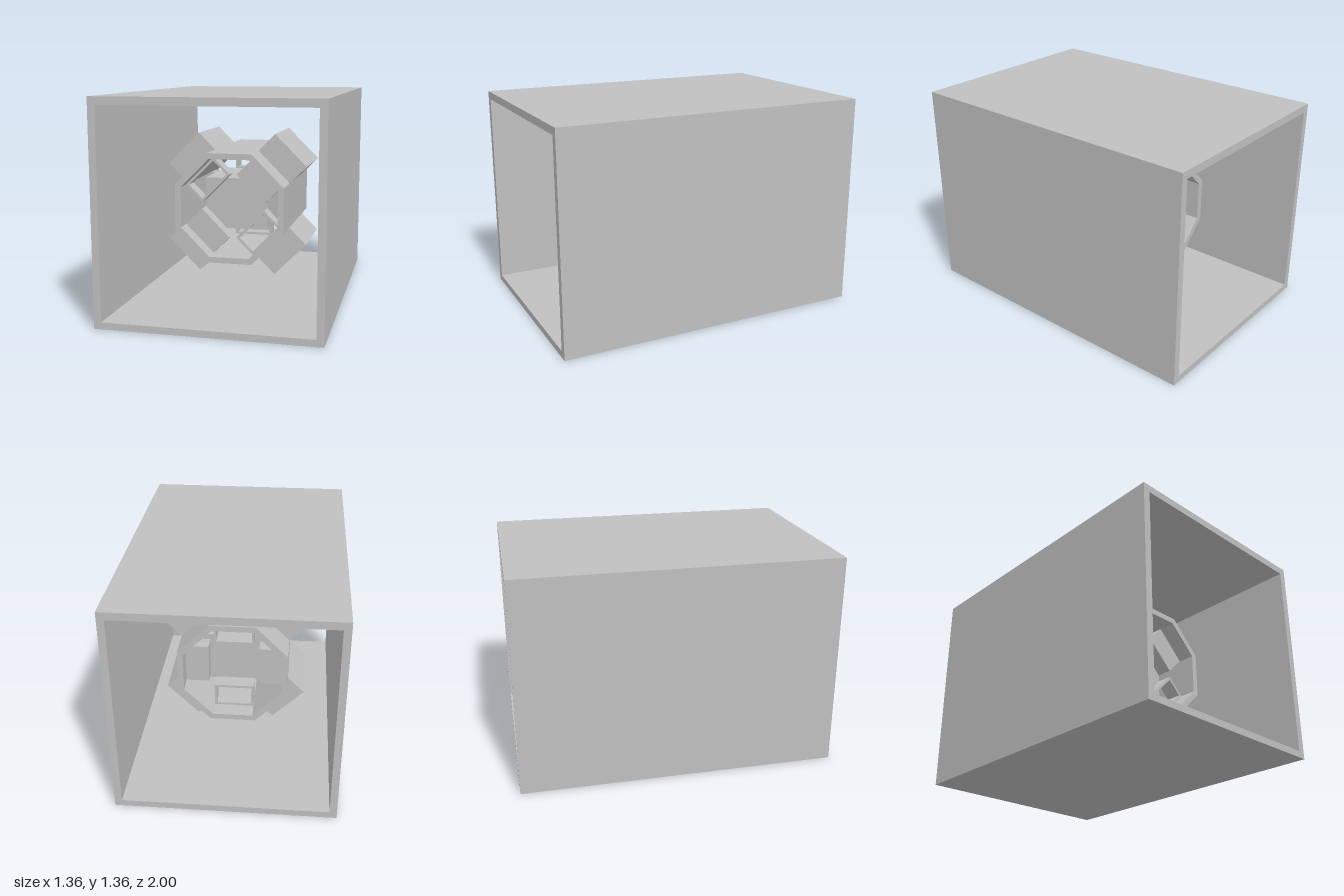
import * as THREE from 'three';

const CENTER_Y = 0.645; // axis of the inner tube

export function createModel() {
  const model = new THREE.Group();
  const gray = new THREE.MeshStandardMaterial({ color: 0xc0c0c0 });
  gray.name = 'light gray';

  const add = (parent, name, geometry) => {
    const mesh = new THREE.Mesh(geometry, gray);
    mesh.name = name;
    parent.add(mesh);
    return mesh;
  };
  const rect = (x0, y0, x1, y1) => [[x0, y0], [x1, y0], [x1, y1], [x0, y1]];
  const octagon = (apothem) => Array.from({ length: 8 }, (_, i) => {
    const a = (i + 0.5) * Math.PI / 4;
    const r = apothem / Math.cos(Math.PI / 8);
    return [r * Math.cos(a), r * Math.sin(a)];
  });
  const points = (list) => list.map(([x, y]) => new THREE.Vector2(x, y));
  // Hollow prism along z from an outer and an inner outline
  const tube = (outer, inner, z0, z1) => {
    const shape = new THREE.Shape(points(outer));
    shape.holes.push(new THREE.Path(points(inner)));
    return new THREE.ExtrudeGeometry(shape, { depth: z1 - z0, bevelEnabled: false }).translate(0, 0, z0);
  };
  // Solid block reaching from r0 to r1 along +x
  const block = (r0, r1, width, z0, z1) =>
    new THREE.BoxGeometry(r1 - r0, width, z1 - z0).translate((r0 + r1) / 2, 0, (z0 + z1) / 2);

  // Square outer shell, open at both ends
  add(model, 'outerShell', tube(rect(-0.68, 0, 0.68, 1.36), rect(-0.635, 0.042, 0.635, 1.312), -1, 1));

  const core = new THREE.Group();
  core.name = 'innerAssembly';
  core.position.y = CENTER_Y;
  model.add(core);

  // Eight-sided tube and the central block
  add(core, 'octagonalTube', tube(octagon(0.348), octagon(0.311), -0.46, 0.46));
  add(core, 'centralBlock', new THREE.BoxGeometry(0.41, 0.33, 0.5));

  // Four diagonal blocks on the outside of the tube
  for (let i = 0; i < 4; i++) {
    add(core, 'outerBlock', block(0.34, 0.5, 0.29, -0.25, 0.25)).rotation.z = (i + 0.5) * Math.PI / 2;
  }

  // Solid blocks alternating with open frames, turned 45 degrees between the ends
  for (const [z0, z1, turn] of [[0.25, 0.35, Math.PI / 4], [-0.35, -0.25, 0]]) {
    for (let i = 0; i < 4; i++) {
      const part = i % 2 === 0
        ? add(core, 'innerBlock', block(0.162, 0.311, 0.256, z0, z1))
        : add(core, 'openFrame', tube(rect(0.158, -0.128, 0.311, 0.128), rect(0.174, -0.113, 0.296, 0.113), z0, z1));
      part.rotation.z = turn + i * Math.PI / 2;
    }
  }
  return model;
}
